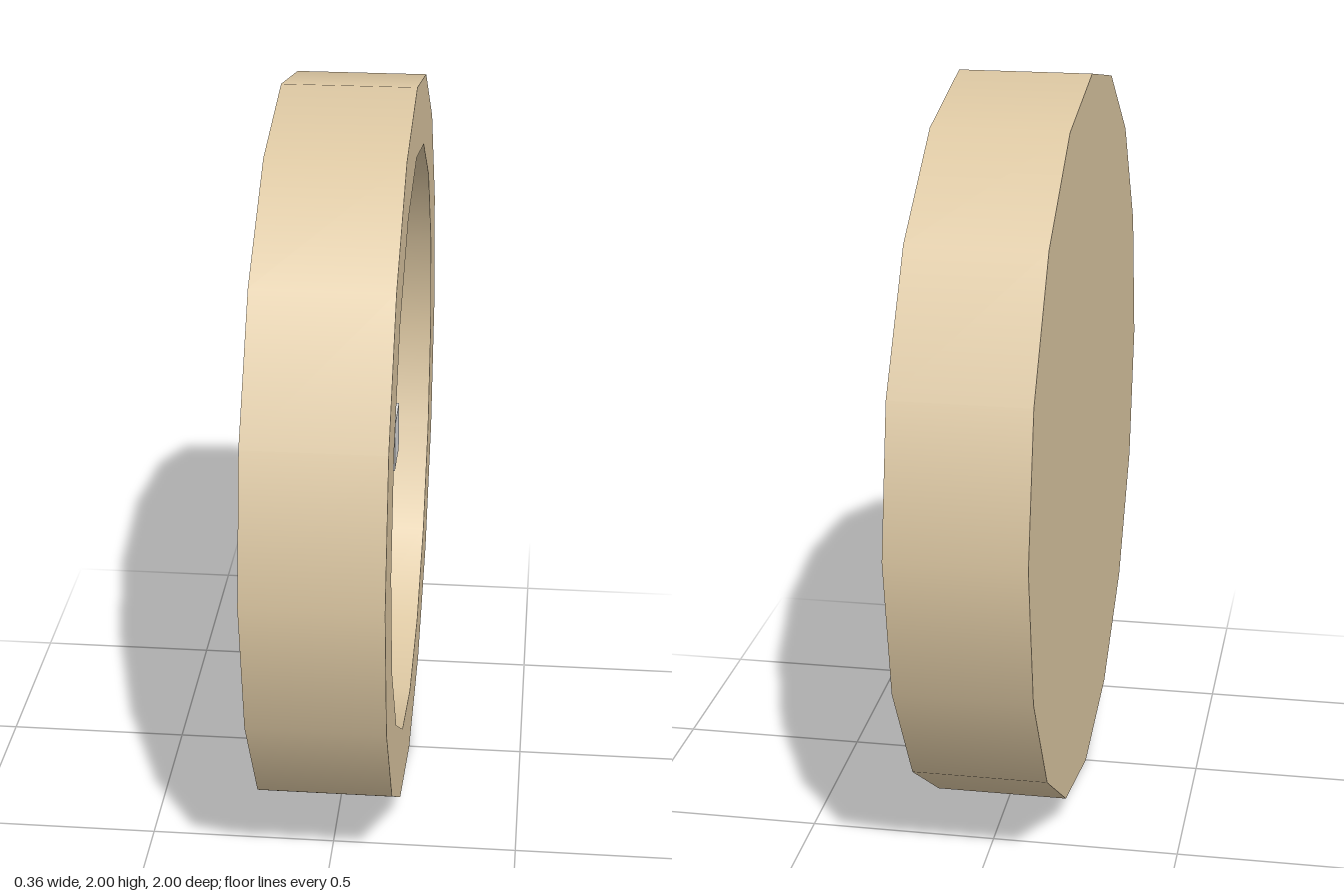
import * as THREE from 'three';
import { mergeGeometries } from 'three/addons/utils/BufferGeometryUtils.js';

const SIDES = 16;
const BACK = -0.18, FRONT = 0.175, DIAL = 0.02;
const RADIUS = 1, INNER = 0.81;

// One turned strip between two [radius, height] points, smooth around, sharp at its ends
function strip(a, b) {
  return new THREE.LatheGeometry([new THREE.Vector2(...a), new THREE.Vector2(...b)], SIDES);
}

// Bar along +y from 0 to length; each end is { x0, x1, w } (depth range and half width)
function taperedBar(length, base, tip) {
  const geometry = new THREE.BoxGeometry(1, 1, 1);
  const p = geometry.attributes.position;
  for (let i = 0; i < p.count; i++) {
    const end = p.getY(i) > 0 ? tip : base;
    p.setXYZ(i,
      p.getX(i) > 0 ? end.x1 : end.x0,
      p.getY(i) > 0 ? length : 0,
      Math.sign(p.getZ(i)) * end.w);
  }
  geometry.computeVertexNormals();
  return geometry;
}

export function createModel() {
  const wood = new THREE.MeshStandardMaterial({ color: 0xdcc7a2 });
  wood.name = 'paleWood';
  const blue = new THREE.MeshStandardMaterial({ color: 0x6880a0 });
  blue.name = 'dialBlue';
  const grey = new THREE.MeshStandardMaterial({ color: 0xdcdcdc });
  grey.name = 'lightGrey';

  const clock = new THREE.Group();
  clock.name = 'wallClock';
  const add = (name, geometry, material, parent = clock) => {
    const mesh = new THREE.Mesh(geometry, material);
    mesh.name = name;
    parent.add(mesh);
    return mesh;
  };

  // Round body, turned about y and then tipped so that the dial faces +x
  const body = new THREE.Group();
  body.name = 'body';
  body.rotation.z = -Math.PI / 2;
  body.position.y = 1;
  clock.add(body);

  const profile = [[0, BACK], [RADIUS, BACK], [RADIUS, FRONT], [INNER, FRONT], [INNER, DIAL]];
  const strips = profile.slice(1).map((point, i) => strip(profile[i], point));
  add('case', mergeGeometries(strips), wood, body);
  add('dial', strip([INNER, DIAL], [0, DIAL]), blue, body);

  // Hands turn about the x axis at the centre of the dial
  const hands = new THREE.Group();
  hands.name = 'hands';
  hands.position.y = 1;
  clock.add(hands);

  const hub = add('hub', new THREE.BoxGeometry(0.115, 0.14, 0.145), grey, hands);
  hub.position.set(0.073, 0.003, 0.002);

  add('minuteHand', taperedBar(0.515,
    { x0: 0.015, x1: 0.12, w: 0.05 },
    { x0: 0.02, x1: 0.118, w: 0.04 }), grey, hands);

  const hourHand = add('hourHand', taperedBar(0.31,
    { x0: 0.01, x1: 0.1, w: 0.062 },
    { x0: 0.03, x1: 0.075, w: 0.032 }), grey, hands);
  hourHand.rotation.x = Math.atan2(-0.77, -0.64);

  return clock;
}
